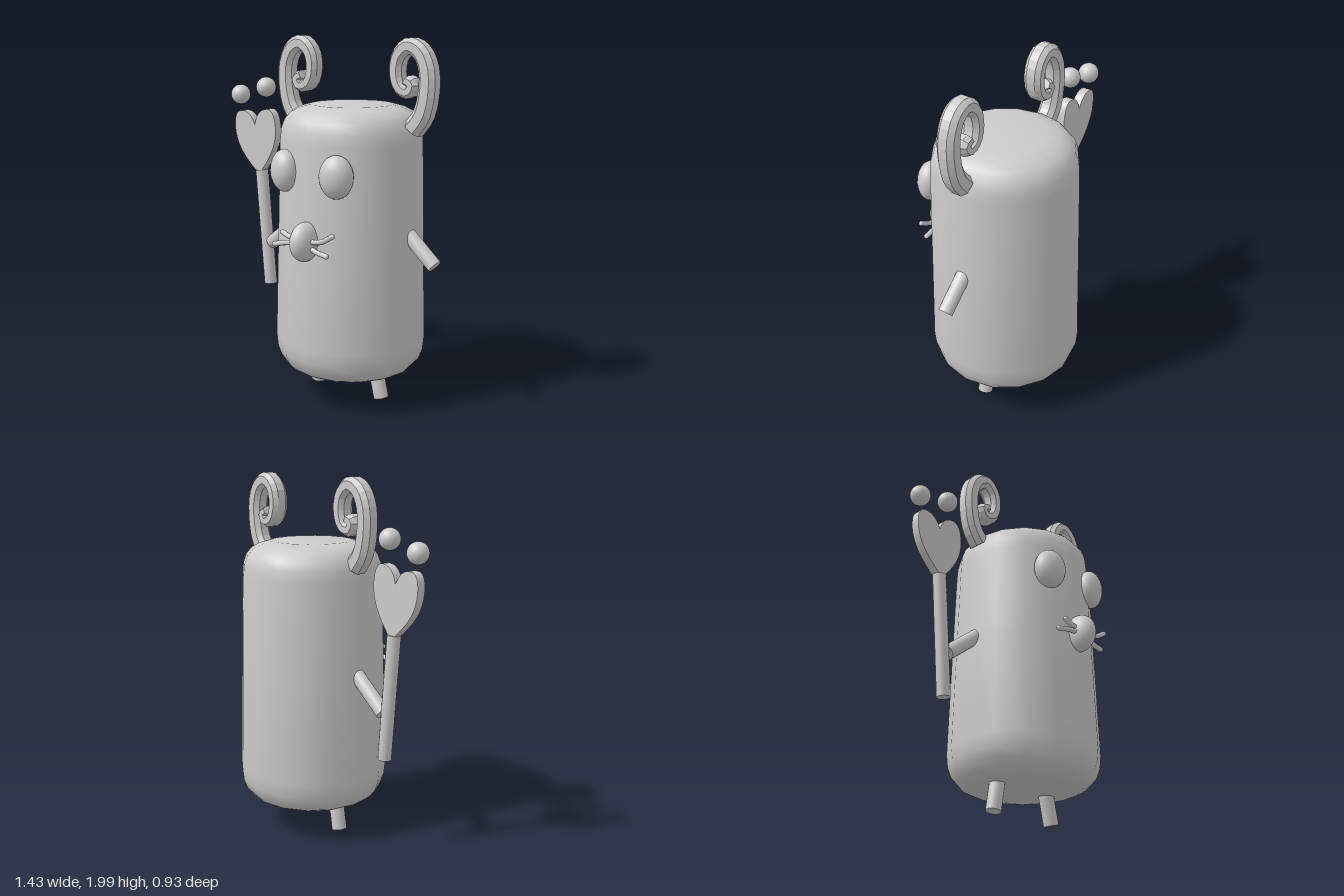
import * as THREE from 'three';
import { toCreasedNormals } from 'three/addons/utils/BufferGeometryUtils.js';

const CX = 0.15, CZ = -0.047; // body axis
const grey = new THREE.MeshStandardMaterial({ color: 0xcccccc });
const faceted = new THREE.MeshStandardMaterial({ color: 0xcccccc, flatShading: true });
const v = (x, y, z = CZ) => new THREE.Vector3(x, y, z);

function add(group, name, geometry, material = grey) {
  const mesh = new THREE.Mesh(geometry, material);
  mesh.name = name;
  group.add(mesh);
  return mesh;
}

// Straight round rod between two points
function rod(group, name, a, b, r) {
  const geo = toCreasedNormals(new THREE.CylinderGeometry(r, r, a.distanceTo(b), 16), 0.6);
  const mesh = add(group, name, geo);
  mesh.position.copy(a).lerp(b, 0.5);
  mesh.quaternion.setFromUnitVectors(v(0, 1, 0), b.clone().sub(a).normalize());
}

function ellipsoid(group, name, p, rx, ry, rz) {
  const mesh = add(group, name, new THREE.SphereGeometry(1, 24, 16));
  mesh.position.copy(p);
  mesh.scale.set(rx, ry, rz);
  return mesh;
}

// Curled horn: a bevelled section swept along a flat spiral, tapering to the tip.
// side = -1 or 1 sets the direction in which the horn leans outward.
function hornGeometry(side) {
  const path = new THREE.CatmullRomCurve3([
    [0.37, 1.525], [0.428, 1.60], [0.457, 1.72], [0.452, 1.84], [0.41, 1.92],
    [0.345, 1.948], [0.285, 1.90], [0.268, 1.81], [0.295, 1.735], [0.35, 1.715],
    [0.372, 1.755], [0.335, 1.775],
  ].map(([x, y]) => v(x * side, y, 0)));
  const section = [[-1, -0.5], [-0.5, -1], [0.5, -1], [1, -0.5], [1, 0.5], [0.5, 1], [-0.5, 1], [-1, 0.5]];
  const N = 30, M = section.length, pos = [], idx = [];
  for (let i = 0; i <= N; i++) {
    const p = path.getPoint(i / N), t = path.getTangent(i / N);
    const w = 0.054 - 0.026 * i / N;
    for (const [a, b] of section) pos.push(p.x - t.y * a * w, p.y + t.x * a * w, b * 0.05);
  }
  for (let i = 0; i < N; i++) {
    for (let j = 0; j < M; j++) {
      const a = i * M + j, b = i * M + (j + 1) % M;
      idx.push(a, b, b + M, a, b + M, a + M);
    }
  }
  for (let j = 1; j < M - 1; j++) {
    idx.push(0, j + 1, j, N * M, N * M + j, N * M + j + 1);
  }
  const geo = new THREE.BufferGeometry();
  geo.setAttribute('position', new THREE.Float32BufferAttribute(pos, 3));
  geo.setIndex(idx);
  geo.computeVertexNormals();
  return geo;
}

export function createModel() {
  const model = new THREE.Group();
  model.name = 'hornedCreature';

  // Tapered barrel body with rounded ends
  const profile = [
    [0, 0.165], [0.26, 0.165], [0.31, 0.172], [0.355, 0.195], [0.39, 0.235], [0.41, 0.29], [0.417, 0.36],
    [0.401, 0.95], [0.387, 1.45], [0.381, 1.51], [0.363, 1.56], [0.33, 1.597], [0.285, 1.62], [0.225, 1.636], [0, 1.637],
  ].map(([r, y]) => new THREE.Vector2(r, y));
  const body = add(model, 'body', toCreasedNormals(new THREE.LatheGeometry(profile, 16), 0.6));
  body.position.set(CX, 0, CZ);

  // Horns
  for (const [name, side, z] of [['leftHorn', 1, -0.063], ['rightHorn', -1, -0.048]]) {
    add(model, name, hornGeometry(side), faceted).position.set(0.16, 0, z);
  }

  // Eyes and nose
  for (const [name, x, turn] of [['rightEye', -0.02, -0.35], ['leftEye', 0.32, 0.35]]) {
    ellipsoid(model, name, v(x, 1.305, 0.315), 0.09, 0.112, 0.07).rotation.y = turn;
  }
  ellipsoid(model, 'nose', v(0.157, 0.957, 0.365), 0.066, 0.105, 0.1);

  // Whiskers, each a bent tube: start, middle, end
  const whiskers = [
    [[0.14, 0.97], [0.07, 0.975], [0.022, 0.993]],
    [[0.14, 0.95], [0.05, 0.94], [-0.035, 0.92]],
    [[0.17, 0.965], [0.27, 0.975], [0.345, 1.015]],
    [[0.17, 0.95], [0.24, 0.92], [0.31, 0.907]],
  ];
  whiskers.forEach((pts, i) => {
    const curve = new THREE.CatmullRomCurve3(pts.map(([x, y]) => v(x, y, 0.382)));
    const whisker = new THREE.Group();
    whisker.name = 'whisker' + (i + 1);
    add(whisker, 'whiskerHair', new THREE.TubeGeometry(curve, 10, 0.014, 8));
    ellipsoid(whisker, 'whiskerTip', curve.getPoint(1), 0.014, 0.014, 0.014);
    model.add(whisker);
  });

  // Arms and legs
  rod(model, 'rightArm', v(-0.18, 0.98), v(-0.432, 0.78), 0.04);
  rod(model, 'leftArm', v(0.48, 1.01), v(0.688, 0.825), 0.04);
  rod(model, 'rightLeg', v(-0.04, 0.25), v(-0.081, 0.013), 0.042);
  rod(model, 'leftLeg', v(0.307, 0.25), v(0.364, 0.013), 0.042);

  // Staff with a heart head, drawn upright and tilted on the staff axis
  const staff = new THREE.Group();
  staff.name = 'staff';
  rod(staff, 'staffPole', v(-0.503, 1.21), v(-0.445, 0.53), 0.037);
  const heart = new THREE.Shape();
  heart.moveTo(0, 0);
  heart.bezierCurveTo(0.08, 0.08, 0.155, 0.16, 0.156, 0.27);
  heart.bezierCurveTo(0.157, 0.35, 0.13, 0.375, 0.1, 0.375);
  heart.bezierCurveTo(0.05, 0.375, 0.02, 0.35, 0, 0.29);
  heart.bezierCurveTo(-0.02, 0.35, -0.05, 0.375, -0.1, 0.375);
  heart.bezierCurveTo(-0.13, 0.375, -0.157, 0.35, -0.156, 0.27);
  heart.bezierCurveTo(-0.155, 0.16, -0.08, 0.08, 0, 0);
  const heartGeo = new THREE.ExtrudeGeometry(heart, { depth: 0.05, bevelEnabled: false, curveSegments: 10 });
  const heartMesh = add(staff, 'heart', toCreasedNormals(heartGeo, 0.5));
  heartMesh.position.set(-0.503, 1.185, CZ - 0.025);
  heartMesh.rotation.z = 0.1;
  model.add(staff);

  // Floating balls above the heart
  ellipsoid(model, 'ball1', v(-0.66, 1.64), 0.057, 0.057, 0.057);
  ellipsoid(model, 'ball2', v(-0.462, 1.692), 0.057, 0.057, 0.057);
  return model;
}
